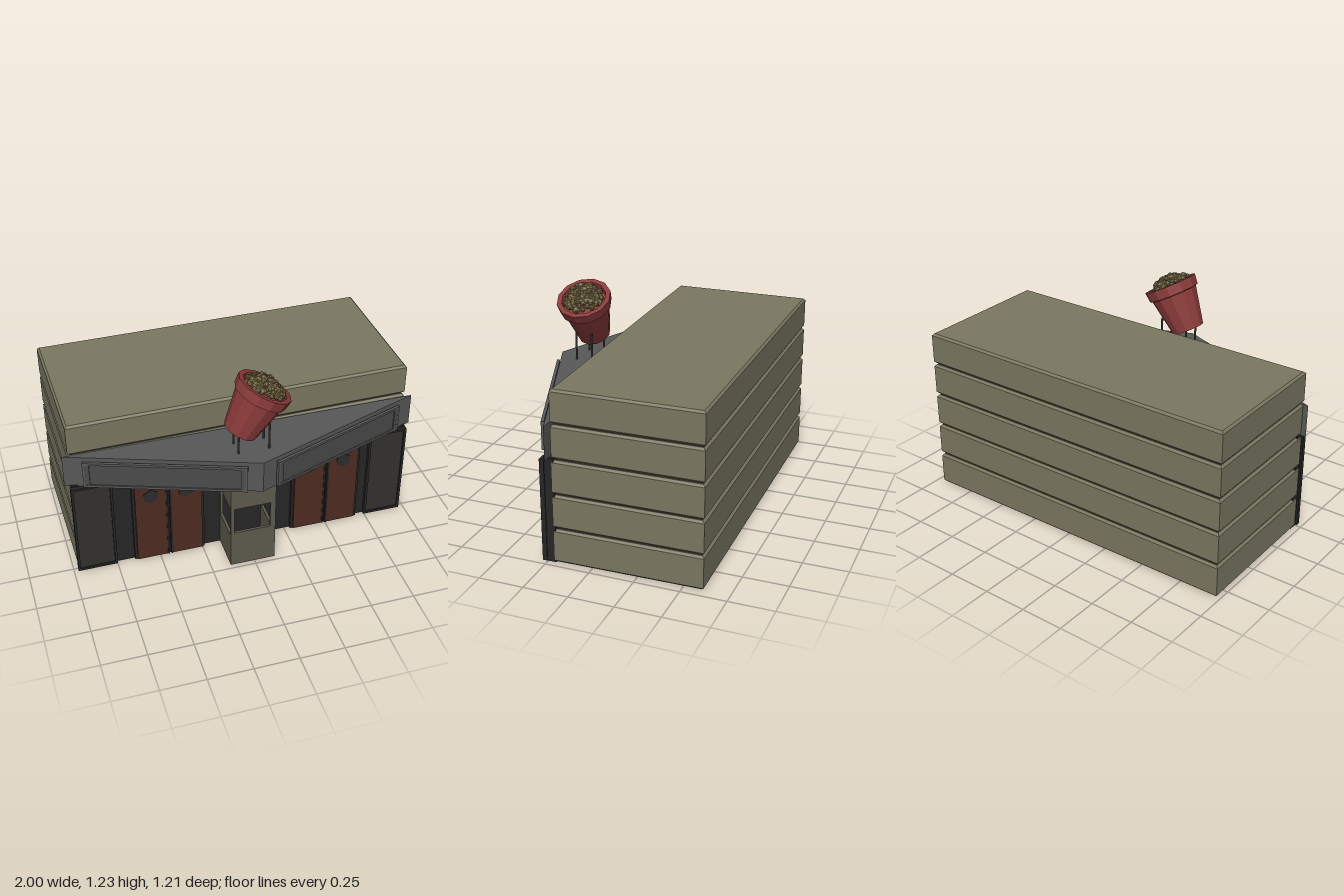
import * as THREE from 'three';

const mat = (color) => new THREE.MeshStandardMaterial({ color, flatShading: true });

export function createModel() {
  const M = {
    wall: mat(0x7a7760), gap: mat(0x4a483c), sign: mat(0x595859), signPanel: mat(0x4c4b4a),
    dark: mat(0x262626), poster: mat(0x32312c), door: mat(0x4e2b20), glass: mat(0x2c2c2c),
    booth: mat(0x5e5b4d), red: mat(0x8a3a3a), corn: mat(0x7a6c46), metal: mat(0x484848),
  };
  const root = new THREE.Group();
  root.name = 'cinema';

  const add = (parent, name, geo, material, x = 0, y = 0, z = 0) => {
    const m = new THREE.Mesh(geo, material);
    m.name = name;
    m.position.set(x, y, z);
    parent.add(m);
    return m;
  };
  // box given by its limits
  const block = (parent, name, material, x0, x1, y0, y1, z0, z1) =>
    add(parent, name, new THREE.BoxGeometry(x1 - x0, y1 - y0, z1 - z0), material,
      (x0 + x1) / 2, (y0 + y1) / 2, (z0 + z1) / 2);
  const group = (name, parent = root) => {
    const g = new THREE.Group();
    g.name = name;
    parent.add(g);
    return g;
  };
  const rect = (C, x0, x1, y0, y1) => {
    const s = new C();
    s.moveTo(x0, y0).lineTo(x1, y0).lineTo(x1, y1).lineTo(x0, y1).closePath();
    return s;
  };
  // rectangular frame in the xy plane, extruded towards +z
  const frameGeo = (x0, x1, y0, y1, t, depth) => {
    const s = rect(THREE.Shape, x0, x1, y0, y1);
    s.holes.push(rect(THREE.Path, x0 + t, x1 - t, y0 + t, y1 - t));
    return new THREE.ExtrudeGeometry(s, { depth, bevelEnabled: false });
  };

  // Stacked chamfered slabs, turned very slightly
  const building = group('building');
  building.position.set(-0.008, 0, -0.185);
  building.rotation.y = 0.0155;
  const W = 1.935, D = 0.82, b = 0.012;
  for (const [y0, y1] of [[0.004, 0.196], [0.204, 0.393], [0.4, 0.59], [0.598, 0.785], [0.792, 0.977]]) {
    const s = rect(THREE.Shape, -W / 2 + b, W / 2 - b, -D / 2 + b, D / 2 - b);
    const g = new THREE.ExtrudeGeometry(s, {
      depth: y1 - y0 - 2 * b, bevelSize: b, bevelThickness: b, bevelSegments: 1,
    });
    g.rotateX(-Math.PI / 2);
    add(building, 'wallSlab', g, M.wall, 0, y0 + b, 0);
  }
  add(building, 'core', new THREE.BoxGeometry(W - 0.03, 0.95, D - 0.03), M.gap, 0, 0.485, 0);

  // Ground floor frontage
  const front = group('frontage');
  block(front, 'frontWall', M.dark, -0.965, 0.965, 0.004, 0.6, 0.2, 0.256);
  for (const [x0, x1] of [[-0.975, -0.75], [0.745, 0.97]]) {
    const p = group('posterCase', front);
    add(p, 'posterFrame', frameGeo(x0, x1, 0.006, 0.59, 0.014, 0.026), M.dark, 0, 0, 0.252);
    block(p, 'poster', M.poster, x0 + 0.01, x1 - 0.01, 0.02, 0.58, 0.25, 0.268);
  }
  for (const [cx, offsets] of [[-0.443, [-0.1, 0.1]], [0.487, [-0.1, 0.1]]]) {
    const d = group('doubleDoor', front);
    block(d, 'doorSurround', M.dark, cx - 0.205, cx + 0.205, 0.006, 0.555, 0.25, 0.274);
    for (const o of offsets) {
      block(d, 'door', M.door, cx + o - 0.09, cx + o + 0.09, 0.012, 0.55, 0.26, 0.286);
      const w = new THREE.CylinderGeometry(0.045, 0.045, 0.012, 6);
      w.rotateX(Math.PI / 2);
      add(d, 'doorWindow', w, M.glass, cx + o, 0.455, 0.285);
      block(d, 'doorHandle', M.dark, cx + o - Math.sign(o) * 0.09 - 0.005,
        cx + o - Math.sign(o) * 0.09 + 0.005, 0.012, 0.55, 0.26, 0.29);
    }
  }

  // Hollow ticket booth with open windows on three sides
  const booth = group('ticketBooth');
  const bx0 = -0.14, bx1 = 0.12, bz0 = 0.25, bz1 = 0.472, t = 0.016;
  const faceWall = rect(THREE.Shape, bx0, bx1, 0.002, 0.61);
  faceWall.holes.push(rect(THREE.Path, -0.12, 0.09, 0.235, 0.405));
  add(booth, 'boothFront', new THREE.ExtrudeGeometry(faceWall, { depth: t, bevelEnabled: false }),
    M.booth, 0, 0, bz1 - t);
  for (const [x0, x1] of [[bx0, bx0 + t], [bx1 - t, bx1]]) {
    block(booth, 'boothSideBase', M.booth, x0, x1, 0.002, 0.215, bz0, bz1 - t);
    block(booth, 'boothSideTop', M.booth, x0, x1, 0.405, 0.61, bz0, bz1 - t);
    block(booth, 'boothPost', M.booth, x0, x1, 0.215, 0.405, bz0, bz0 + 0.015);
  }
  block(booth, 'boothFloor', M.booth, bx0 + t, bx1 - t, 0.002, 0.02, bz0, bz1 - t);
  block(booth, 'boothCeiling', M.booth, bx0 + t, bx1 - t, 0.405, 0.42, bz0, bz1 - t);

  // Wedge-shaped marquee, rising slightly towards its tip
  const marquee = group('marquee');
  const lift = (geo) => {
    const p = geo.attributes.position;
    for (let i = 0; i < p.count; i++) p.setY(i, p.getY(i) + 0.04 * (p.getZ(i) - 0.235));
    geo.computeVertexNormals();
    return geo;
  };
  const tri = new THREE.Shape([[-1, -0.23], [0, -0.605], [1, -0.23]].map((p) => new THREE.Vector2(...p)));
  const wedge = new THREE.ExtrudeGeometry(tri, { depth: 0.19, bevelEnabled: false });
  wedge.rotateX(-Math.PI / 2).translate(0, 0.596, 0);
  add(marquee, 'canopy', lift(wedge), M.sign);
  const slope = Math.atan2(0.375, 1);
  for (const s of [-1, 1]) {
    const side = group('signBoard', marquee);
    // place a flat geometry, centred on its length, along the canopy edge
    const place = (g) => lift(g.rotateY(s * slope).translate(s * 0.489, 0.686, 0.43));
    add(side, 'signFrame', place(frameGeo(-0.438, 0.438, -0.08, 0.08, 0.014, 0.017)), M.sign);
    add(side, 'signFace', place(new THREE.BoxGeometry(0.86, 0.145, 0.007).translate(0, 0, 0.006)), M.signPanel);
    for (const e of [-1, 1]) {
      add(side, 'signEnd', place(new THREE.BoxGeometry(0.022, 0.14, 0.01).translate(e * 0.413, 0, 0.011)), M.signPanel);
    }
  }

  // Thin legs carrying the tub
  for (const x of [-0.1, 0.07]) for (const z of [0.385, 0.48]) {
    add(root, 'tubLeg', new THREE.CylinderGeometry(0.006, 0.006, 0.18, 8), M.metal, x, 0.87, z);
  }

  // Tilted popcorn tub
  const tub = group('popcornTub');
  tub.position.set(-0.08, 0.912, 0.436);
  tub.rotation.z = -0.495;
  const profile = [[0, 0], [0.094, 0], [0.137, 0.222], [0.15, 0.226], [0.156, 0.284], [0.128, 0.284],
    [0.122, 0.255], [0, 0.255]].map((p) => new THREE.Vector2(...p));
  add(tub, 'tub', new THREE.LatheGeometry(profile, 12), M.red);
  const corn = group('popcorn', tub);
  const N = 60;
  for (let i = 0; i < N; i++) {
    const r = 0.104 * Math.sqrt((i + 0.5) / N), a = i * 2.39996;
    const k = add(corn, 'kernel', new THREE.IcosahedronGeometry(0.021 + 0.005 * Math.sin(i * 5.3), 0), M.corn,
      r * Math.cos(a), 0.279 + 0.042 * (1 - (r / 0.104) ** 2) + 0.006 * Math.sin(i * 3.7), r * Math.sin(a));
    k.rotation.set(i * 1.3, i * 2.1, i * 0.7);
  }
  return root;
}
